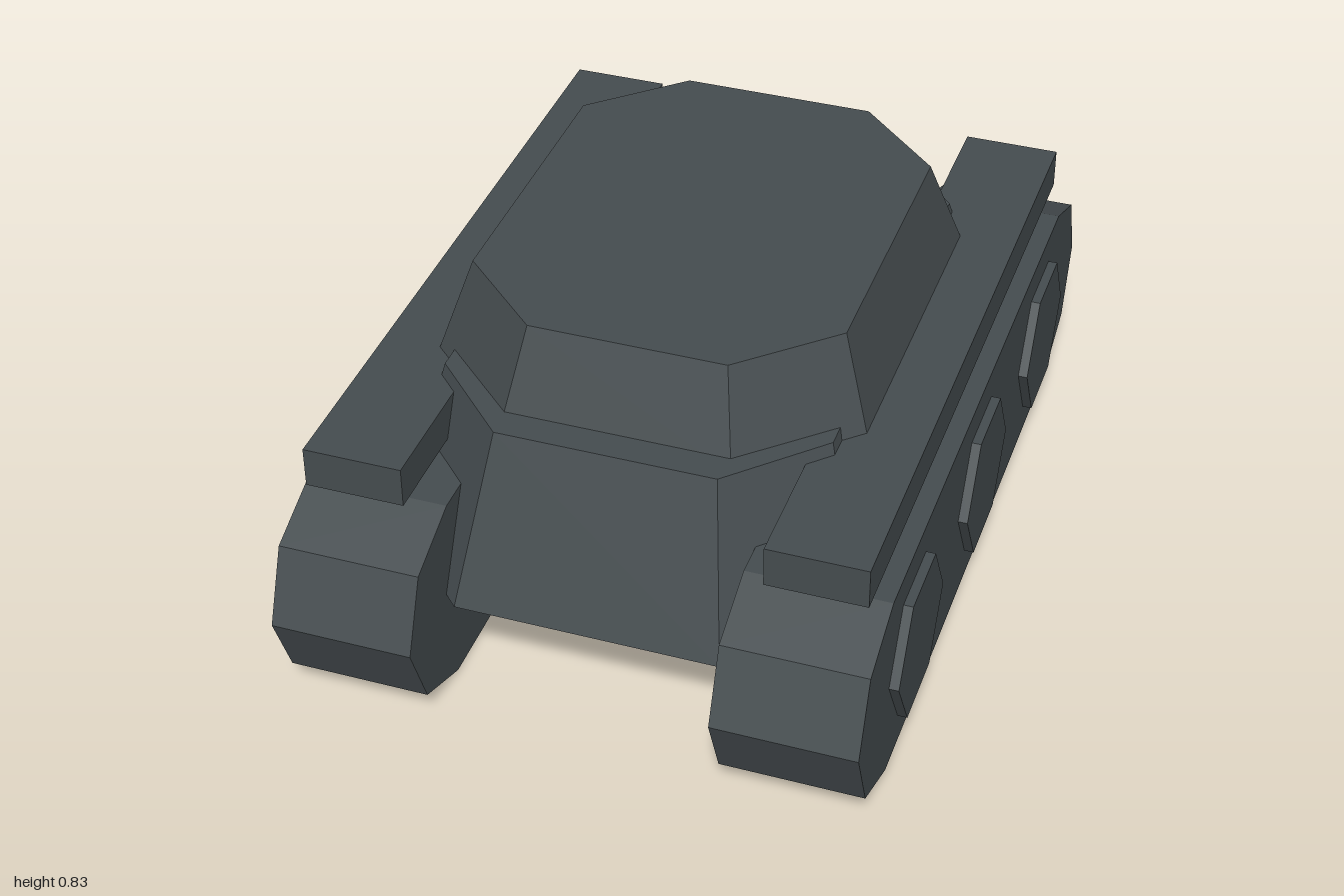
import * as THREE from 'three';

const material = new THREE.MeshStandardMaterial({ color: 0x454c4f, flatShading: true });

function part(name, geometry) {
  const mesh = new THREE.Mesh(geometry, material);
  mesh.name = name;
  return mesh;
}

// Octagon with half sizes (a, b) and corners cut back to (ca, cb)
function octagon(a, b, ca, cb) {
  const quarter = [[a, cb], [ca, b]];
  const points = [
    ...quarter,
    ...quarter.map(([x, y]) => [-x, y]).reverse(),
    ...quarter.map(([x, y]) => [-x, -y]),
    ...quarter.map(([x, y]) => [x, -y]).reverse(),
  ];
  return new THREE.Shape(points.map(([x, y]) => new THREE.Vector2(x, y)));
}

// Upright octagonal block that narrows evenly towards its top
function taperedBlock(shape, bottom, top, taper) {
  const height = top - bottom;
  const geometry = new THREE.ExtrudeGeometry(shape, { depth: height, bevelEnabled: false });
  geometry.rotateX(-Math.PI / 2);
  const p = geometry.attributes.position;
  for (let i = 0; i < p.count; i++) {
    const k = 1 + (taper - 1) * (p.getY(i) / height);
    p.setXYZ(i, p.getX(i) * k, p.getY(i) + bottom, p.getZ(i) * k);
  }
  geometry.computeVertexNormals();
  return geometry;
}

// Track side outline: (z, y) with faceted round ends
function trackGeometry() {
  const front = [[0.765, 0], [0.93, 0.07], [1, 0.24], [0.93, 0.41], [0.765, 0.478]];
  const outline = [...front, ...front.map(([z, y]) => [-z, y]).reverse()];
  const shape = new THREE.Shape(outline.map(([z, y]) => new THREE.Vector2(z, y)));
  const geometry = new THREE.ExtrudeGeometry(shape, { depth: 0.326, bevelEnabled: false });
  geometry.rotateY(Math.PI / 2);
  geometry.translate(-0.163, 0, 0);
  return geometry;
}

export function createModel() {
  const model = new THREE.Group();
  model.name = 'tank';

  // Sloped hull and the turret sitting on it
  model.add(part('hull', taperedBlock(octagon(0.54, 0.83, 0.305, 0.592), 0.252, 0.642, 0.827)));
  model.add(part('turret', taperedBlock(octagon(0.498, 0.624, 0.262, 0.403), 0.612, 0.828, 0.862)));

  for (const [label, side] of [['left', 1], ['right', -1]]) {
    // Track
    const track = part(`${label}Track`, trackGeometry());
    track.position.x = side * 0.5;
    model.add(track);

    // Fender plate above the track
    const fender = part(`${label}Fender`, new THREE.BoxGeometry(0.227, 0.096, 1.68));
    fender.position.set(side * 0.5165, 0.567, 0);
    model.add(fender);

    // Hexagonal wheel caps on the outer face
    for (const z of [0.585, 0, -0.585]) {
      const wheel = part(`${label}Wheel`, new THREE.CylinderGeometry(0.184, 0.184, 0.06, 6));
      wheel.rotation.z = Math.PI / 2;
      wheel.position.set(side * 0.655, 0.241, z);
      model.add(wheel);
    }
  }
  return model;
}
